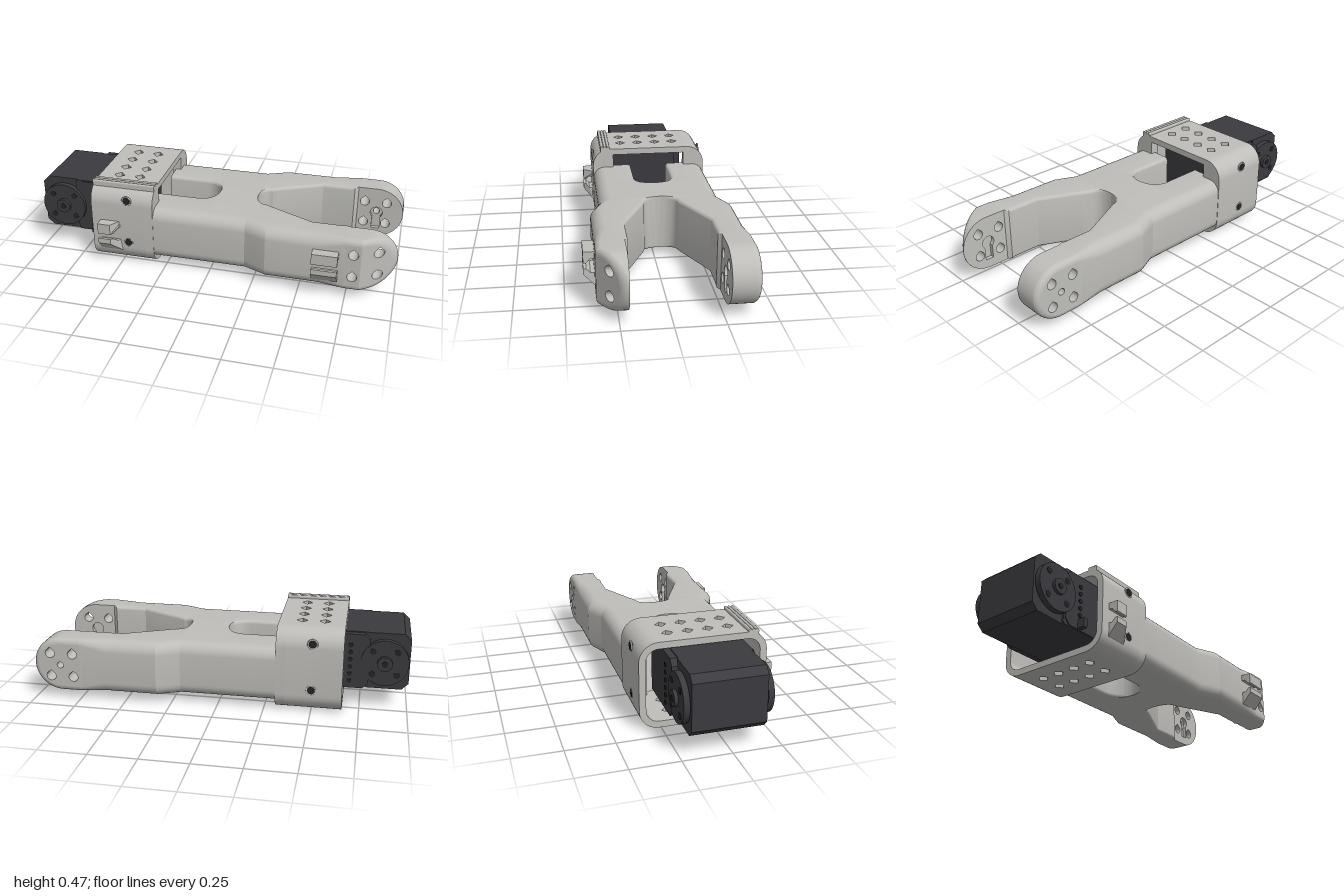
import * as THREE from 'three';
import { toCreasedNormals } from 'three/addons/utils/BufferGeometryUtils.js';

const grey = new THREE.MeshStandardMaterial({ color: 0xbfbeba, side: THREE.DoubleSide });
grey.name = 'printedGrey';
const dark = new THREE.MeshStandardMaterial({ color: 0x3b3a3f });
dark.name = 'motorCharcoal';
const black = new THREE.MeshStandardMaterial({ color: 0x242428 });
black.name = 'screwBlack';

const MID = -0.03;   // z of the frame's mirror plane
const CY = 0.195;    // height of the arm centre line
const { lerp, clamp } = THREE.MathUtils;

function add(parent, name, geo, mat, x = 0, y = 0, z = 0) {
  const m = new THREE.Mesh(geo, mat);
  m.name = name;
  m.position.set(x, y, z);
  parent.add(m);
  return m;
}

// Piecewise linear lookup
function along(keys, x) {
  for (let i = 1; i < keys.length; i++) {
    const [a, va] = keys[i - 1], [b, vb] = keys[i];
    if (x <= b) return lerp(va, vb, clamp((x - a) / (b - a), 0, 1));
  }
  return keys[keys.length - 1][1];
}

// Skin between rings of [x, y, z] points
function loft(rings, closed = true) {
  const n = rings[0].length, idx = [];
  for (let r = 0; r < rings.length - 1; r++) {
    for (let i = 0; i < (closed ? n : n - 1); i++) {
      const a = r * n + i, b = r * n + (i + 1) % n;
      idx.push(a, b, a + n, b, b + n, a + n);
    }
  }
  const g = new THREE.BufferGeometry();
  g.setAttribute('position', new THREE.Float32BufferAttribute(rings.flat(2), 3));
  g.setIndex(idx);
  return toCreasedNormals(g, 0.27);
}

const arc = (cx, cy, r, a0, a1, n = 8) => Array.from({ length: n + 1 }, (_, i) => {
  const a = lerp(a0, a1, i / n) * Math.PI / 180;
  return [cx + r * Math.cos(a), cy + r * Math.sin(a)];
});
const path = (pts, C = THREE.Shape) => new C(pts.map(p => new THREE.Vector2(p[0], p[1])));

// Flat face with holes, laid on z = zOf(x)
function plate(pts, holes, zOf) {
  const s = path(pts);
  s.holes = holes.map(h => path(h, THREE.Path));
  const g = new THREE.ShapeGeometry(s), p = g.attributes.position;
  for (let i = 0; i < p.count; i++) p.setZ(i, zOf(p.getX(i)));
  g.computeVertexNormals();
  return g;
}

function extrude(pts, depth, holes = []) {
  const s = path(pts);
  s.holes = holes.map(h => path(h, THREE.Path));
  return toCreasedNormals(new THREE.ExtrudeGeometry(s, { depth, bevelEnabled: false }), 0.4);
}
// Profile of [z, y] points swept along x; outline of [x, z] points swept up y
const sweepX = (pts, len) => extrude(pts.map(([z, y]) => [-z, y]), len).rotateY(Math.PI / 2);
const sweepY = (pts, len, holes = []) =>
  extrude(pts.map(([x, z]) => [x, -z]), len, holes.map(h => h.map(([x, z]) => [x, -z]))).rotateX(-Math.PI / 2);

// Inner edge of an arm; it reaches the mirror plane where the cross web is
function innerEdge(x) {
  if (x < -0.115) return 0.105;
  if (x < -0.01) return Math.sqrt(Math.max(0, 0.105 ** 2 - (x + 0.115) ** 2));
  if (x <= 0.205) return 0;
  if (x < 0.27) return 0.09 * Math.sqrt(Math.max(0, 1 - ((0.27 - x) / 0.065) ** 2));
  return along([[0.27, 0.09], [0.54, 0.218], [0.72, 0.218], [0.74, 0.235]], x);
}

function armSection(x, s) {
  const D = along([[-0.34, 0.328], [0.2, 0.328], [0.32, 0.38], [0.74, 0.38]], x);
  const d = innerEdge(x), h = 0.15;
  const R = along([[0.6, 0.065], [0.74, 0.03]], x);
  const r = Math.min(along([[0.7, 0.02], [0.74, 0.002]], x), d * 0.3);
  return [
    ...arc(D - R, h - R, R, 0, 90), ...arc(d + r, h - r, r, 90, 180),
    ...arc(d + r, r - h, r, 180, 270), ...arc(D - R, R - h, R, 270, 360),
  ].map(([q, y]) => [x, CY + y, MID + s * q]);
}

const teardrop = (x, y, r) => [...arc(x, y, r, 140, 400, 14), [x, y + r * 1.3]];

// Round arm end with four through holes and a keyhole pocket
function armTip(parent, s, taper) {
  const outer = x => MID + s * (0.38 - taper * Math.max(0, x - 0.82));
  const inner = MID + s * 0.235, bevel = 0.03, floor = MID + s * 0.258;
  const outline = i => [
    [0.74, CY - 0.15 + i], [0.82, CY - 0.15 + i], ...arc(0.85, CY, 0.15 - i, -90, 90, 28),
    [0.82, CY + 0.15 - i], [0.74, CY + 0.15 - i],
  ];
  const rings = [outline(0).map(([x, y]) => [x, y, inner])];
  for (let k = 0; k <= 8; k++) {
    const a = k / 8 * Math.PI / 2;
    rings.push(outline(bevel * (1 - Math.cos(a))).map(([x, y]) =>
      [x, y, MID + s * Math.max(0.237, s * (outer(x) - MID) - bevel * (1 - Math.sin(a)))]));
  }
  add(parent, 'tipRim', loft(rings, false), grey);

  const near = [0.13, 0.26].map(y => teardrop(0.78, y, 0.026));
  const far = [0.13, 0.26].map(y => teardrop(0.905, y, 0.026));
  const key = [...arc(0.85, CY, 0.035, -50, 230, 16), [0.8275, CY - 0.1], [0.8725, CY - 0.1]];
  const centre = taper ? [] : [arc(0.85, CY, 0.018, 0, 345, 15)];
  const face = outline(bevel);
  add(parent, 'tipOuterFace', plate(face.filter(p => p[0] < 0.821), near, outer), grey);
  add(parent, 'tipEndFace', plate(face.filter(p => p[0] > 0.819), [...far, ...centre], outer), grey);
  add(parent, 'tipInnerFace', plate(outline(0), [...near, ...far, key], () => inner), grey);
  add(parent, 'keyholeFloor', plate(key, centre, () => floor), grey);
  const wall = (pts, zA, zB) => add(parent, 'holeWall',
    loft([pts.map(([x, y]) => [x, y, zA(x)]), pts.map(([x, y]) => [x, y, zB(x)])]), grey);
  [...near, ...far].forEach(h => wall(h, outer, () => inner));
  centre.forEach(h => wall(h, outer, () => floor));
  wall(key, () => inner, () => floor);
}

function buildFrame() {
  const frame = new THREE.Group();
  frame.name = 'forkFrame';
  const xs = [-0.34, -0.2];
  for (let i = 0; i <= 12; i++) xs.push(-0.115 + 0.105 * Math.sin(i / 12 * Math.PI / 2));
  xs.push(0.1, 0.2);
  for (let i = 0; i <= 8; i++) xs.push(0.27 - 0.065 * Math.cos(i / 8 * Math.PI / 2));
  xs.push(0.32, 0.42, 0.54, 0.6, 0.7, 0.72, 0.74);
  for (const s of [1, -1]) {
    const arm = new THREE.Group();
    arm.name = s > 0 ? 'frontArm' : 'backArm';
    add(arm, 'armBody', loft(xs.map(x => armSection(x, s))), grey);
    armTip(arm, s, s > 0 ? 0.68 : 0);
    frame.add(arm);
  }
  return frame;
}

// Pair of cable hooks; z is the wall they stand on
function cableClip(parent, x, len, z, dy, slant) {
  const upper = [[-0.02, 0.27], [0.055, 0.27], [0.055, 0.21], [0.04, 0.21], [0.02, 0.235], [-0.02, 0.235]];
  const lower = [[-0.02, 0.085], [0, 0.09], [0.055, 0.15], [0.055, 0.18], [0.04, 0.18], [0.02, 0.16], [-0.02, 0.16]];
  for (const prof of [upper, lower]) {
    const g = sweepX(prof, len), p = g.attributes.position;
    for (let i = 0; i < p.count; i++) if (p.getX(i) > len / 2) p.setX(i, p.getX(i) - slant * Math.max(0, p.getZ(i)));
    g.computeVertexNormals();
    add(parent, 'cableHook', g, grey, x, dy, z);
  }
}

function buildCollar() {
  const collar = new THREE.Group();
  collar.name = 'motorCollar';
  const diamonds = [];
  for (const x of [-0.55, -0.43]) {
    for (const z of [-0.185, -0.08, 0.025, 0.13]) diamonds.push([[x - 0.03, z], [x, z - 0.03], [x + 0.03, z], [x, z + 0.03]]);
  }
  const slab = [[-0.66, MID - 0.21], [-0.31, MID - 0.21], [-0.31, MID + 0.21], [-0.66, MID + 0.21]];
  add(collar, 'topPlate', sweepY(slab, 0.035, diamonds), grey, 0, 0.42);
  add(collar, 'bottomPlate', sweepY(slab, 0.035, diamonds), grey);
  // Rounded side walls, hollow by the motor and solid by the arms
  const outside = [[0.21, 0.455], ...arc(0.23, 0.355, 0.1, 90, 0, 10), ...arc(0.23, 0.1, 0.1, 0, -90, 10), [0.21, 0]];
  const inside = [[0.21, 0.035], ...arc(0.23, 0.1, 0.065, -90, 0, 8), ...arc(0.23, 0.355, 0.065, 0, 90, 8), [0.21, 0.42]];
  for (const s of [1, -1]) {
    const put = pts => pts.map(([d, y]) => [MID + s * d, y]);
    add(collar, 'sideWall', sweepX(put([...outside, ...inside]), 0.3), grey, -0.66);
    add(collar, 'sideWallEnd', sweepX(put(outside), 0.05), grey, -0.36);
    for (const y of [0.13, 0.385]) {
      const x = s > 0 ? -0.455 : -0.5;
      add(collar, 'screwSeat', new THREE.TorusGeometry(0.024, 0.005, 6, 20), grey, x, y, MID + s * 0.327);
      add(collar, 'screwHole', new THREE.CylinderGeometry(0.02, 0.02, 0.012, 16).rotateX(Math.PI / 2), black, x, y, MID + s * 0.326);
    }
  }
  // Ridged strip along the top edge
  add(collar, 'ridgeBase', new THREE.BoxGeometry(0.35, 0.03, 0.055), grey, -0.485, 0.447, 0.2275);
  for (const z of [0.209, 0.2275, 0.246]) {
    add(collar, 'ridge', new THREE.CylinderGeometry(0.009, 0.009, 0.35, 10).rotateZ(Math.PI / 2), grey, -0.485, 0.462, z);
  }
  cableClip(collar, -0.61, 0.12, 0.298, -0.015, 0.9);
  return collar;
}

function buildMotor() {
  const motor = new THREE.Group();
  motor.name = 'servoMotor';
  const block = (x0, x1, y0, y1, c, z0, z1, name) => add(motor, name, extrude(
    [[x0 + c, y0], [x1, y0], [x1, y1], [x0 + c, y1], [x0, y1 - c], [x0, y0 + c]], z1 - z0), dark, 0, 0, z0);
  block(-1, -0.78, 0.105, 0.415, 0.035, -0.205, 0.165, 'motorHead');
  block(-0.8, -0.425, 0.105, 0.415, 0.01, -0.2, 0.175, 'motorCase');
  block(-0.79, -0.44, 0.11, 0.41, 0.03, -0.235, 0.18, 'motorCover');
  for (const s of [1, -1]) {
    const z = s > 0 ? 0.165 : -0.205;
    const disc = (name, r, depth, off, mat, x = -0.87, y = 0.26) =>
      add(motor, name, new THREE.CylinderGeometry(r, r, depth, 40).rotateX(Math.PI / 2), mat, x, y, z + s * off);
    disc('hornDisc', 0.125, 0.03, 0.02, dark);
    disc('hornHub', 0.04, 0.045, 0.03, dark);
    disc('hubScrew', 0.016, 0.006, 0.053, black);
    for (let i = 0; i < 4; i++) {
      const a = Math.PI / 4 + i * Math.PI / 2;
      disc('hornHole', 0.017, 0.006, 0.034, black, -0.87 + 0.09 * Math.cos(a), 0.26 + 0.09 * Math.sin(a));
    }
    for (let i = 0; i < 6; i++) {
      disc('mountHole', 0.012, 0.006, s > 0 ? 0.0165 : 0.0315, black, -0.69, 0.15 + i * 0.04);
    }
  }
  add(motor, 'connector', new THREE.BoxGeometry(0.025, 0.05, 0.05), dark, -0.69, 0.14, 0.195);
  return motor;
}

export function createModel() {
  const model = new THREE.Group();
  model.name = 'forkLink';
  const frame = buildFrame();
  cableClip(frame, 0.57, 0.135, 0.35, 0, 0);
  model.add(frame, buildCollar(), buildMotor());
  return model;
}
